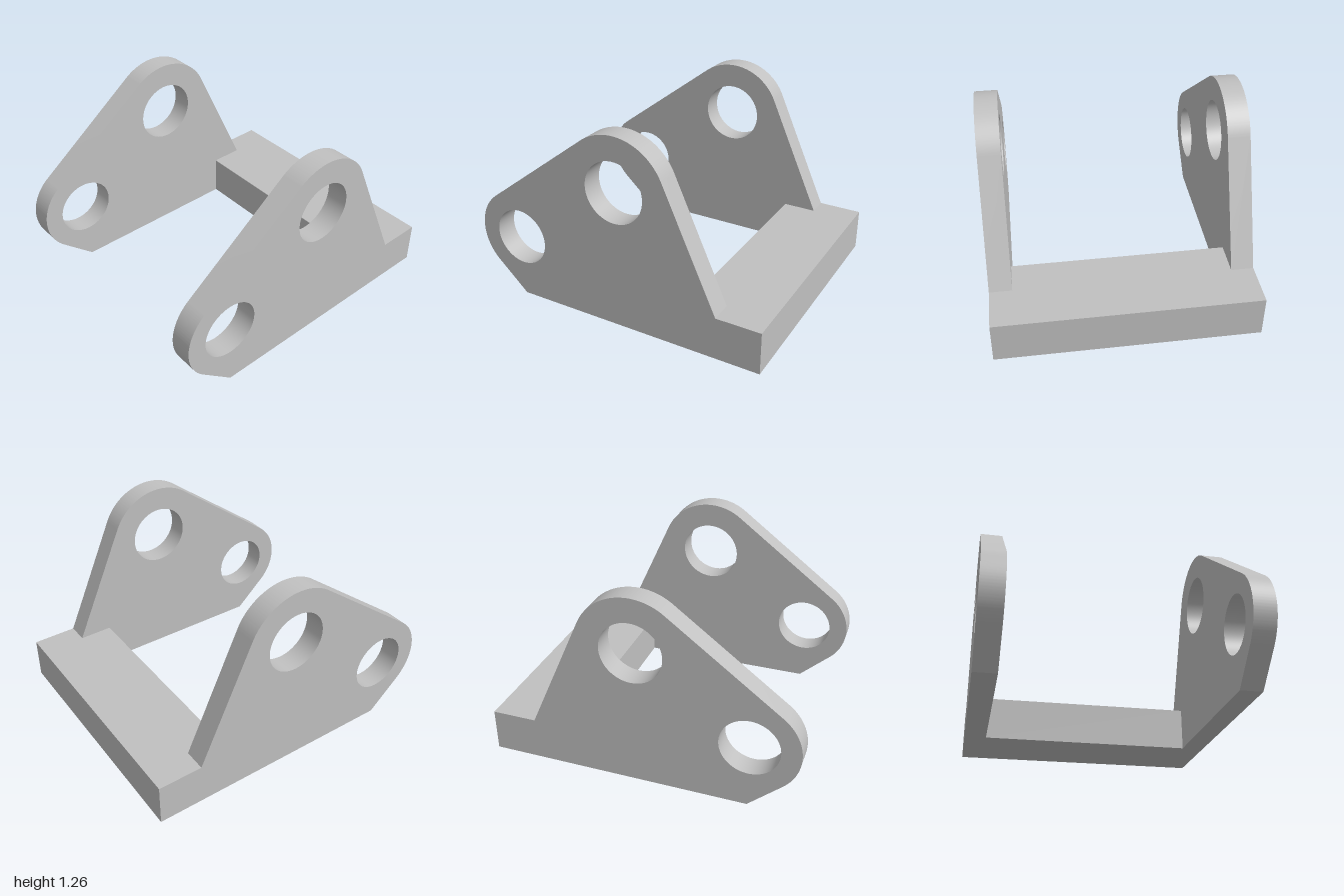
import * as THREE from 'three';
import { toCreasedNormals } from 'three/addons/utils/BufferGeometryUtils.js';

const OUTER = 0.837, INNER = 0.693; // faces of the side plates along x
const BASE_H = 0.28;

// Side plate outline drawn in (z, y): two rounded bosses joined by tangent lines
function plateShape() {
  const low = { z: 0.69, y: 0.42, r: 0.31, hole: 0.187 };
  const top = { z: -0.035, y: 0.907, r: 0.355, hole: 0.198 };
  const toe = [0.69, 0], heel = [-0.71, BASE_H];

  // angle on a boss where the line from an outside point touches it
  const touch = (c, [z, y], side) =>
    Math.atan2(y - c.y, z - c.z) + side * Math.acos(c.r / Math.hypot(z - c.z, y - c.y));
  const dz = top.z - low.z, dy = top.y - low.y;
  const slope = Math.atan2(dy, dz) - Math.acos((low.r - top.r) / Math.hypot(dz, dy));

  const s = new THREE.Shape();
  s.moveTo(-1, 0);
  s.lineTo(...toe);
  s.absarc(low.z, low.y, low.r, touch(low, toe, 1), slope, false);
  s.absarc(top.z, top.y, top.r, slope, touch(top, heel, -1), false);
  s.lineTo(...heel);
  s.lineTo(-1, BASE_H);
  s.closePath();
  for (const c of [low, top]) {
    s.holes.push(new THREE.Path().absarc(c.z, c.y, c.hole, 0, Math.PI * 2, true));
  }
  return s;
}

export function createModel() {
  const group = new THREE.Group();
  const metal = new THREE.MeshStandardMaterial({ color: 0xc0c0c0 });
  metal.name = 'grey metal';

  // Two matching side plates, extruded across x
  let plate = new THREE.ExtrudeGeometry(plateShape(), {
    depth: OUTER - INNER, bevelEnabled: false, curveSegments: 40,
  });
  plate.rotateY(-Math.PI / 2);
  plate = toCreasedNormals(plate, Math.PI / 7);
  for (const [name, x] of [['leftPlate', OUTER], ['rightPlate', -INNER]]) {
    const mesh = new THREE.Mesh(plate, metal);
    mesh.name = name;
    mesh.position.x = x;
    group.add(mesh);
  }

  // Cross bar joining the plates at the back
  const bar = new THREE.Mesh(new THREE.BoxGeometry(2 * INNER, BASE_H, 0.51), metal);
  bar.name = 'crossBar';
  bar.position.set(0, BASE_H / 2, -0.745);
  group.add(bar);

  return group;
}
